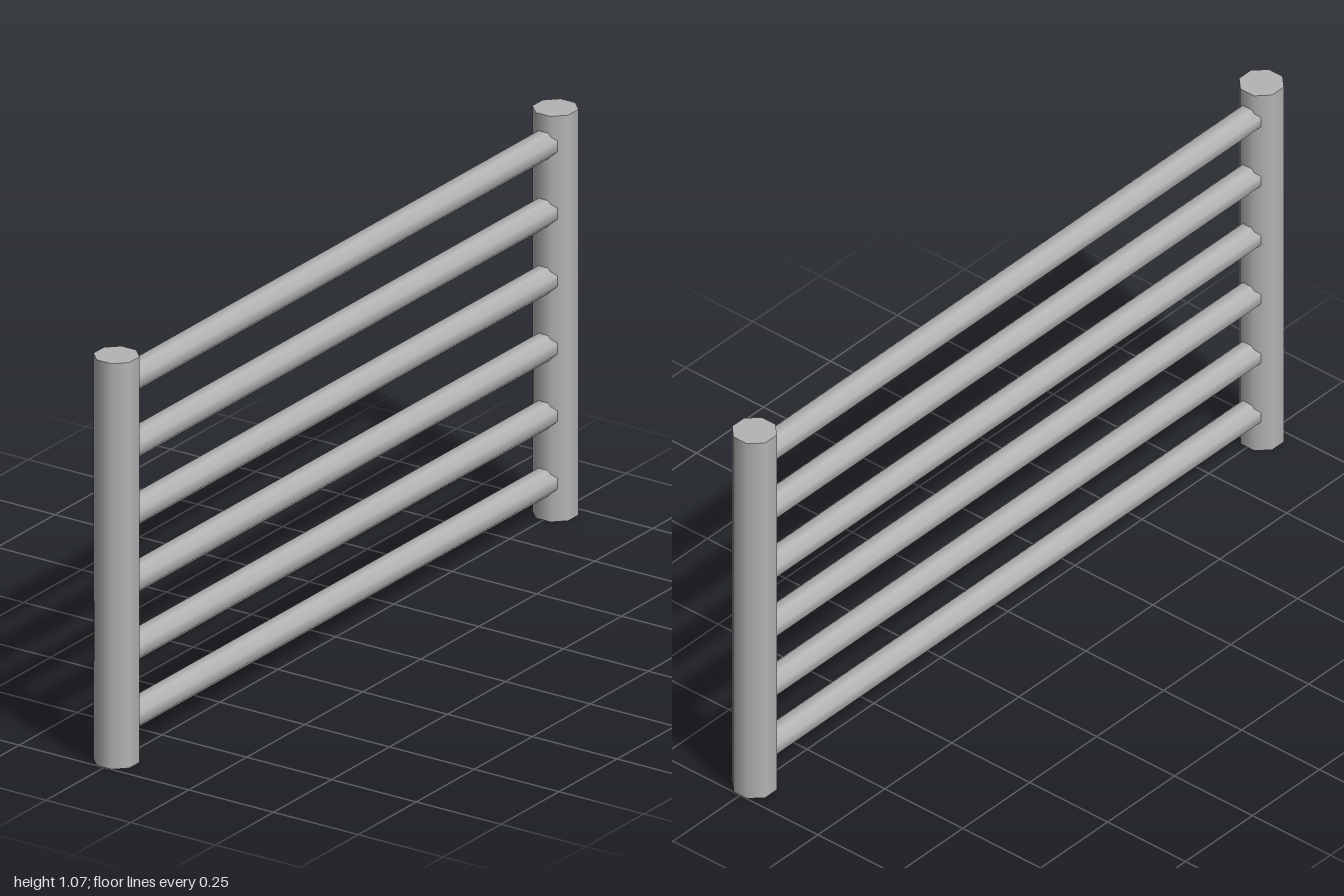
import * as THREE from 'three';

const POST_HEIGHT = 1.07;
const POST_Z = 0.946;   // post axis distance from the centre
const POST_HALF = 0.053; // half width across flats
const RUNG_HALF = 0.034;
const RUNG_COUNT = 6;
const RUNG_BOTTOM = 0.1;
const RUNG_STEP = 0.178;

// Smooth octagonal bar, flats facing the axes
function octagonBar(halfWidth, length) {
  const radius = halfWidth / Math.cos(Math.PI / 8);
  return new THREE.CylinderGeometry(radius, radius, length, 8, 1, false, Math.PI / 8);
}

export function createModel() {
  const model = new THREE.Group();
  model.name = 'railing';

  const metal = new THREE.MeshStandardMaterial({ color: 0xb4b4b4 });
  metal.name = 'grey metal';

  // Upright posts at the front and back
  const postGeometry = octagonBar(POST_HALF, POST_HEIGHT);
  for (const side of [1, -1]) {
    const post = new THREE.Mesh(postGeometry, metal);
    post.name = side > 0 ? 'frontPost' : 'backPost';
    post.position.set(0, POST_HEIGHT / 2, side * POST_Z);
    model.add(post);
  }

  // Horizontal rungs running between the post axes
  const rungGeometry = octagonBar(RUNG_HALF, POST_Z * 2).rotateX(Math.PI / 2);
  for (let i = 0; i < RUNG_COUNT; i++) {
    const rung = new THREE.Mesh(rungGeometry, metal);
    rung.name = `rung${i + 1}`;
    rung.position.y = RUNG_BOTTOM + i * RUNG_STEP;
    model.add(rung);
  }

  return model;
}
